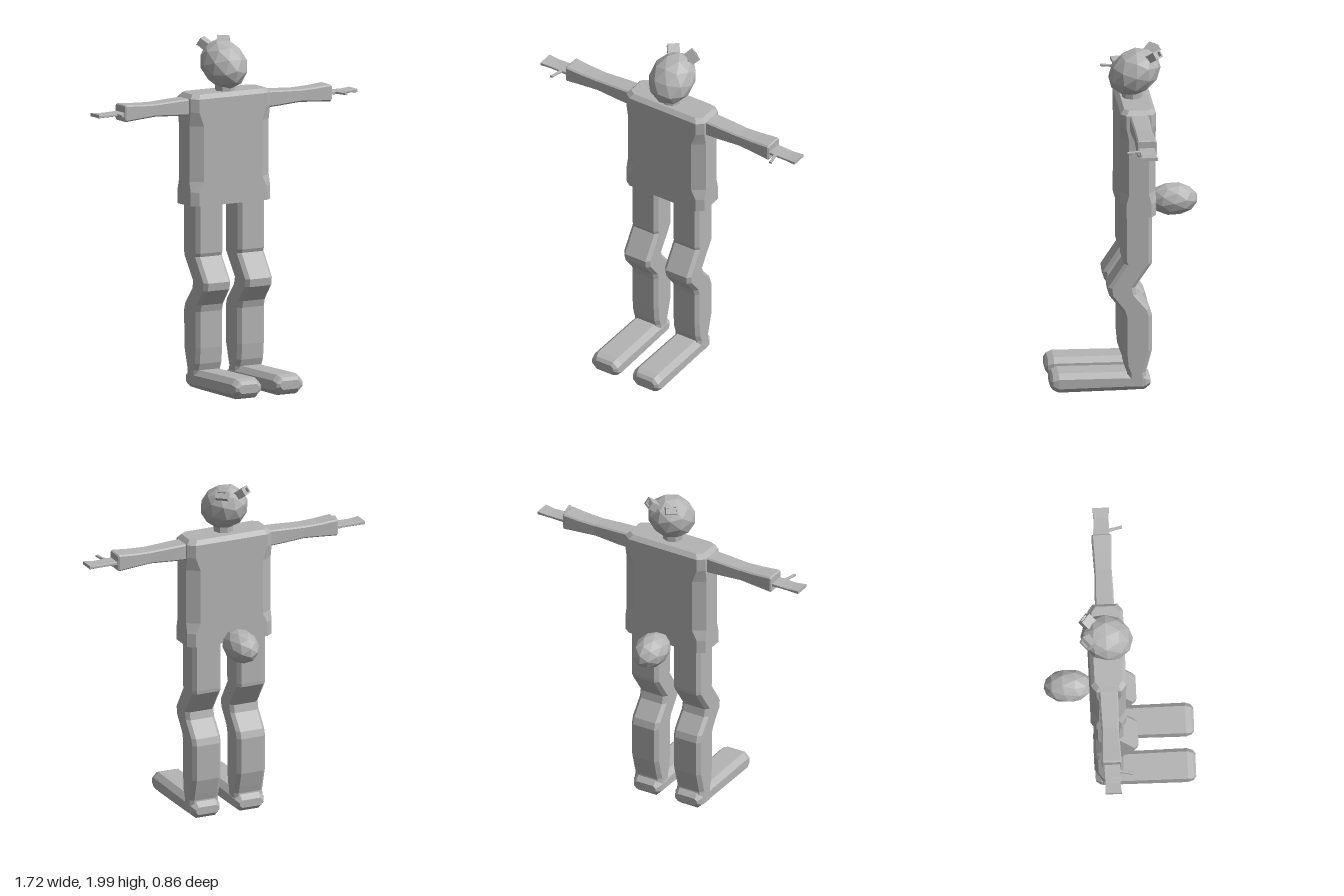
import * as THREE from 'three';

const grey = new THREE.MeshStandardMaterial({ color: 0xb4b4b4 });
grey.name = 'grey';
grey.flatShading = true;

// Cyclic axis maps: (u, v, t) -> (x, y, z), where t is the direction of the loft
const AXES = {
  x: (u, v, t) => [t, u, v],
  y: (u, v, t) => [v, t, u],
  z: (u, v, t) => [u, v, t],
};

// Loft of chamfered rectangles; each section is [t, u0, u1, v0, v1, chamferU, chamferV]
function loft(axis, sections) {
  const rings = sections.map(([t, u0, u1, v0, v1, c, d = c]) => [
    [u1, v0 + d], [u1, v1 - d], [u1 - c, v1], [u0 + c, v1],
    [u0, v1 - d], [u0, v0 + d], [u0 + c, v0], [u1 - c, v0],
  ].map(([u, v]) => AXES[axis](u, v, t)));
  const out = [];
  const tri = (a, b, c) => out.push(...a, ...b, ...c);
  for (let r = 0; r < rings.length - 1; r++) {
    const a = rings[r], b = rings[r + 1];
    for (let i = 0; i < 8; i++) {
      const j = (i + 1) % 8;
      tri(a[i], a[j], b[j]);
      tri(a[i], b[j], b[i]);
    }
  }
  const first = rings[0], last = rings[rings.length - 1];
  for (let i = 1; i < 7; i++) {
    tri(first[0], first[i + 1], first[i]);
    tri(last[0], last[i], last[i + 1]);
  }
  const g = new THREE.BufferGeometry();
  g.setAttribute('position', new THREE.Float32BufferAttribute(out, 3));
  g.computeVertexNormals();
  return g;
}

// Flip a geometry to the other side in x and restore the corner order
function mirror(geometry) {
  const g = geometry.index ? geometry.toNonIndexed() : geometry.clone();
  const p = g.attributes.position;
  const a = new THREE.Vector3(), b = new THREE.Vector3();
  for (let i = 0; i < p.count; i += 3) {
    a.fromBufferAttribute(p, i + 1);
    b.fromBufferAttribute(p, i + 2);
    p.setXYZ(i + 1, b.x, b.y, b.z);
    p.setXYZ(i + 2, a.x, a.y, a.z);
  }
  g.scale(-1, 1, 1);
  g.computeVertexNormals();
  return g;
}

export function createModel() {
  const model = new THREE.Group();
  model.name = 'figure';
  const add = (name, geometry) => {
    const mesh = new THREE.Mesh(geometry, grey);
    mesh.name = name;
    model.add(mesh);
  };
  const addPair = (name, geometry) => {
    add(name + 'Left', geometry);
    add(name + 'Right', mirror(geometry));
  };

  // Torso: a slab whose corners are cut deeper around the ribs
  const slab = (y, c, d, inset = 0) =>
    [y, -0.168 + inset, 0.034 - inset, -0.265 + inset, 0.265 - inset, c, d];
  add('torso', loft('y', [
    slab(1.06, 0.03, 0.04), slab(1.14, 0.03, 0.04), slab(1.2, 0.045, 0.07),
    slab(1.52, 0.045, 0.07), slab(1.6, 0.03, 0.04), slab(1.675, 0.03, 0.04),
    slab(1.7, 0.025, 0.035, 0.022),
  ]));

  // Neck and faceted, backward-tilted head
  add('neck', new THREE.CylinderGeometry(0.058, 0.058, 0.1, 8).translate(0, 1.71, -0.055));
  add('head', new THREE.IcosahedronGeometry(1, 1).scale(0.133, 0.126, 0.16)
    .rotateX(0.61).translate(0, 1.848, -0.068));

  // Ears: short square cups opening backward, upward and outward
  const rect = (T, w, h) => new T([[-w, -h], [w, -h], [w, h], [-w, h]]
    .map(([x, y]) => new THREE.Vector2(x, y)));
  const rim = rect(THREE.Shape, 0.035, 0.023);
  rim.holes.push(rect(THREE.Path, 0.024, 0.013));
  const placeEar = (g) => g.rotateX(-0.6).rotateY(Math.PI - 0.68).translate(0.06, 1.953, -0.172);
  addPair('earRim', placeEar(new THREE.ExtrudeGeometry(rim, { depth: 0.08, bevelEnabled: false })
    .translate(0, 0, -0.045)));
  addPair('earInner', placeEar(new THREE.BoxGeometry(0.05, 0.028, 0.062).translate(0, 0, -0.012)));

  // Arms, flat hands and thin thumbs
  addPair('arm', loft('x', [
    [0.25, 1.58, 1.676, -0.122, -0.015, 0.008], [0.34, 1.584, 1.672, -0.122, -0.015, 0.008],
    [0.48, 1.592, 1.665, -0.118, -0.019, 0.008], [0.58, 1.586, 1.668, -0.122, -0.016, 0.008],
    [0.682, 1.579, 1.676, -0.125, -0.012, 0.008], [0.69, 1.584, 1.671, -0.12, -0.017, 0.008],
  ]));
  addPair('hand', loft('x', [
    [0.685, 1.615, 1.633, -0.112, -0.022, 0.002], [0.74, 1.617, 1.631, -0.112, -0.022, 0.002],
    [0.8, 1.616, 1.63, -0.11, -0.024, 0.002], [0.862, 1.616, 1.635, -0.112, -0.018, 0.002],
  ]));
  addPair('thumb', loft('z', [
    [-0.03, 0.715, 0.735, 1.618, 1.632, 0.002], [0.005, 0.727, 0.742, 1.619, 1.632, 0.002],
    [0.05, 0.736, 0.752, 1.62, 1.632, 0.002],
  ]));

  // Legs: sections [y, back z, front z] with a bent knee
  const legProfile = [
    [0.03, -0.12, -0.005], [0.11, -0.11, -0.005], [0.15, -0.122, 0.01], [0.24, -0.146, 0.018],
    [0.45, -0.148, 0.018], [0.49, -0.135, 0.03], [0.58, -0.06, 0.098], [0.625, -0.05, 0.104],
    [0.765, -0.146, 0.012], [0.785, -0.148, 0.02], [1.08, -0.148, 0.02],
  ];
  addPair('leg', loft('y', legProfile.map(([y, z0, z1]) => [y, z0, z1, 0.05, 0.228, 0.022, 0.02])));

  // Long bevelled feet
  addPair('foot', loft('z', [
    [-0.138, 0.065, 0.208, 0.03, 0.075, 0.015], [-0.108, 0.048, 0.226, 0.004, 0.105, 0.03],
    [0.0, 0.048, 0.228, 0.002, 0.112, 0.03], [0.385, 0.045, 0.23, 0, 0.116, 0.03],
    [0.418, 0.052, 0.224, 0.016, 0.104, 0.03], [0.432, 0.07, 0.206, 0.035, 0.085, 0.018],
  ]));

  // Round faceted tail
  add('tail', new THREE.IcosahedronGeometry(1, 1).rotateX(0.3).scale(0.096, 0.094, 0.142)
    .translate(0, 1.074, -0.288));

  return model;
}
